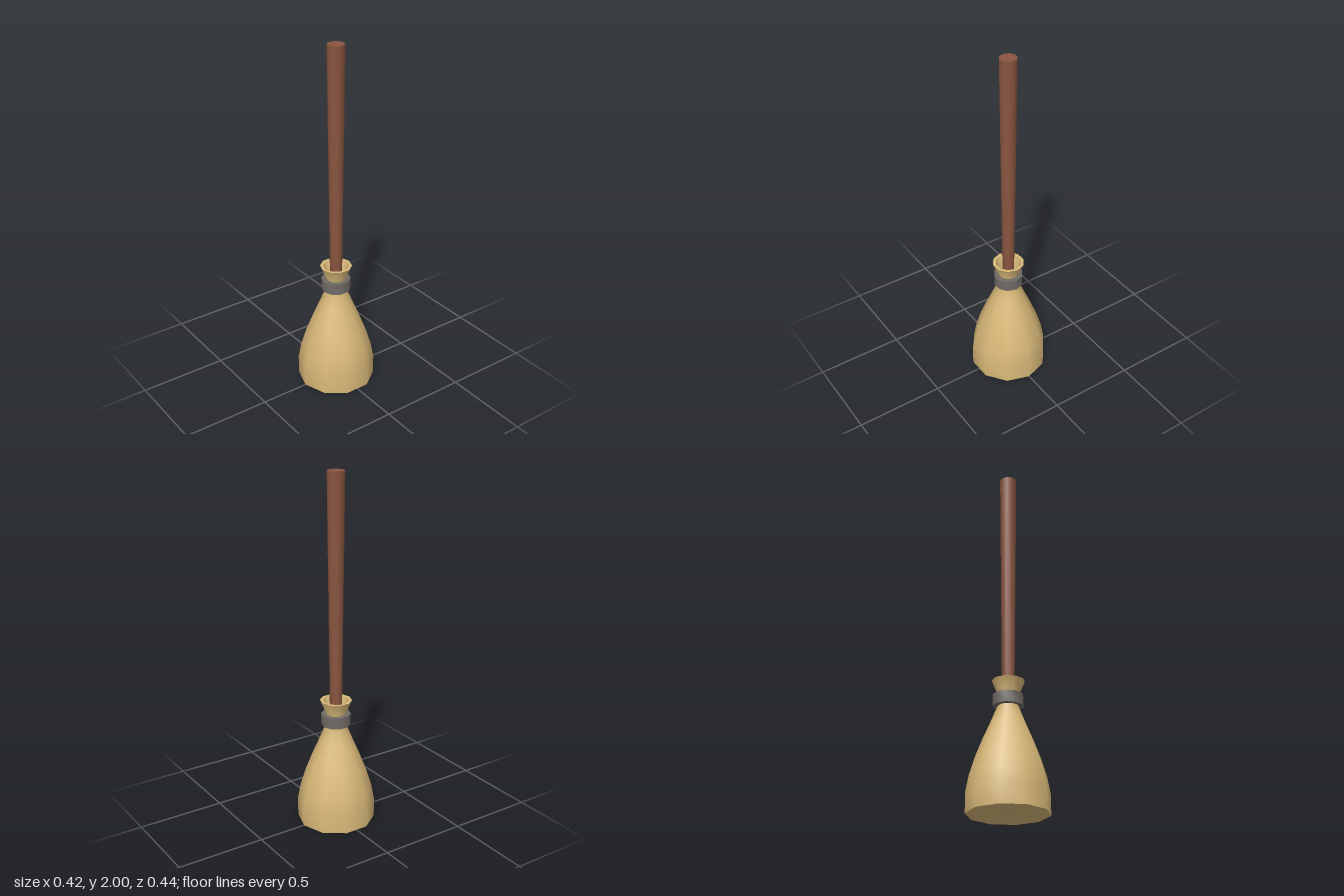
import * as THREE from 'three';
import { toCreasedNormals } from 'three/addons/utils/BufferGeometryUtils.js';

const SIDES = 10;

// Turns a [radius, height] profile into a ten-sided part with crisp rims
function turned(name, profile, color) {
  const points = profile.map(([r, y]) => new THREE.Vector2(r, y));
  const geometry = toCreasedNormals(new THREE.LatheGeometry(points, SIDES), 0.8);
  const mesh = new THREE.Mesh(geometry, new THREE.MeshStandardMaterial({ color }));
  mesh.name = name;
  return mesh;
}

export function createModel() {
  const broom = new THREE.Group();
  broom.name = 'broom';

  // Handle, slightly thicker towards the top
  broom.add(turned('handle', [[0, 0.56], [0.033, 0.56], [0.048, 2], [0, 2]], 0x8a5540));

  // Bristle bundle: recessed base, bell-shaped body, pinched neck, hollow flared collar
  broom.add(turned('bristles', [
    [0, 0.018], [0.197, 0.018], [0.217, 0], [0.22, 0],
    [0.22, 0.11], [0.203, 0.2], [0.172, 0.3], [0.133, 0.4], [0.094, 0.49],
    [0.058, 0.58], [0.056, 0.645],
    [0.09, 0.725], [0.073, 0.725], [0.042, 0.645], [0, 0.645],
  ], 0xd8b878));

  // Binding ring around the neck
  broom.add(turned('binding', [
    [0.05, 0.58], [0.083, 0.58], [0.083, 0.645], [0.05, 0.645],
  ], 0x716b66));

  return broom;
}
